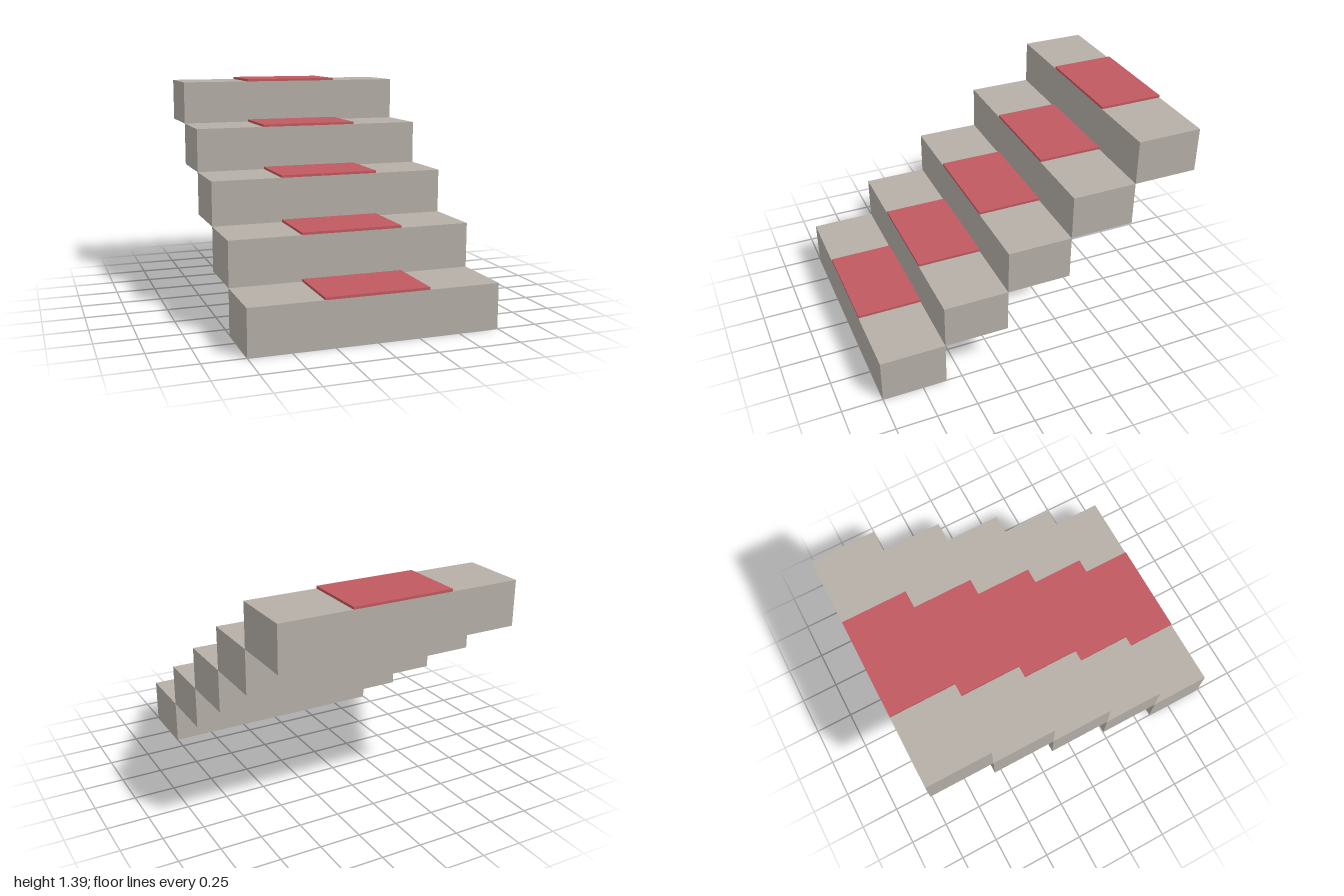
import * as THREE from 'three';

export function createModel() {
  const group = new THREE.Group();
  group.name = 'staircase';

  const stone = new THREE.MeshStandardMaterial({ color: 0xb5afa7 });
  stone.name = 'warm grey stone';
  const carpet = new THREE.MeshStandardMaterial({ color: 0xc0595f });
  carpet.name = 'red carpet';

  const steps = 5, rise = 0.275, run = 0.4, pile = 0.015;
  const stepGeometry = new THREE.BoxGeometry(1.5, rise, run);
  const carpetGeometry = new THREE.BoxGeometry(0.625, pile, run);

  const add = (name, geometry, material, y, z) => {
    const mesh = new THREE.Mesh(geometry, material);
    mesh.name = name;
    mesh.position.set(0, y, z);
    group.add(mesh);
  };

  // Each step is a block with a carpet strip on its tread, climbing toward the back
  for (let i = 0; i < steps; i++) {
    const z = 1 - run * (i + 0.5);
    add(`step${i + 1}`, stepGeometry, stone, rise * (i + 0.5), z);
    add(`carpet${i + 1}`, carpetGeometry, carpet, rise * (i + 1) + pile / 2, z);
  }
  return group;
}
